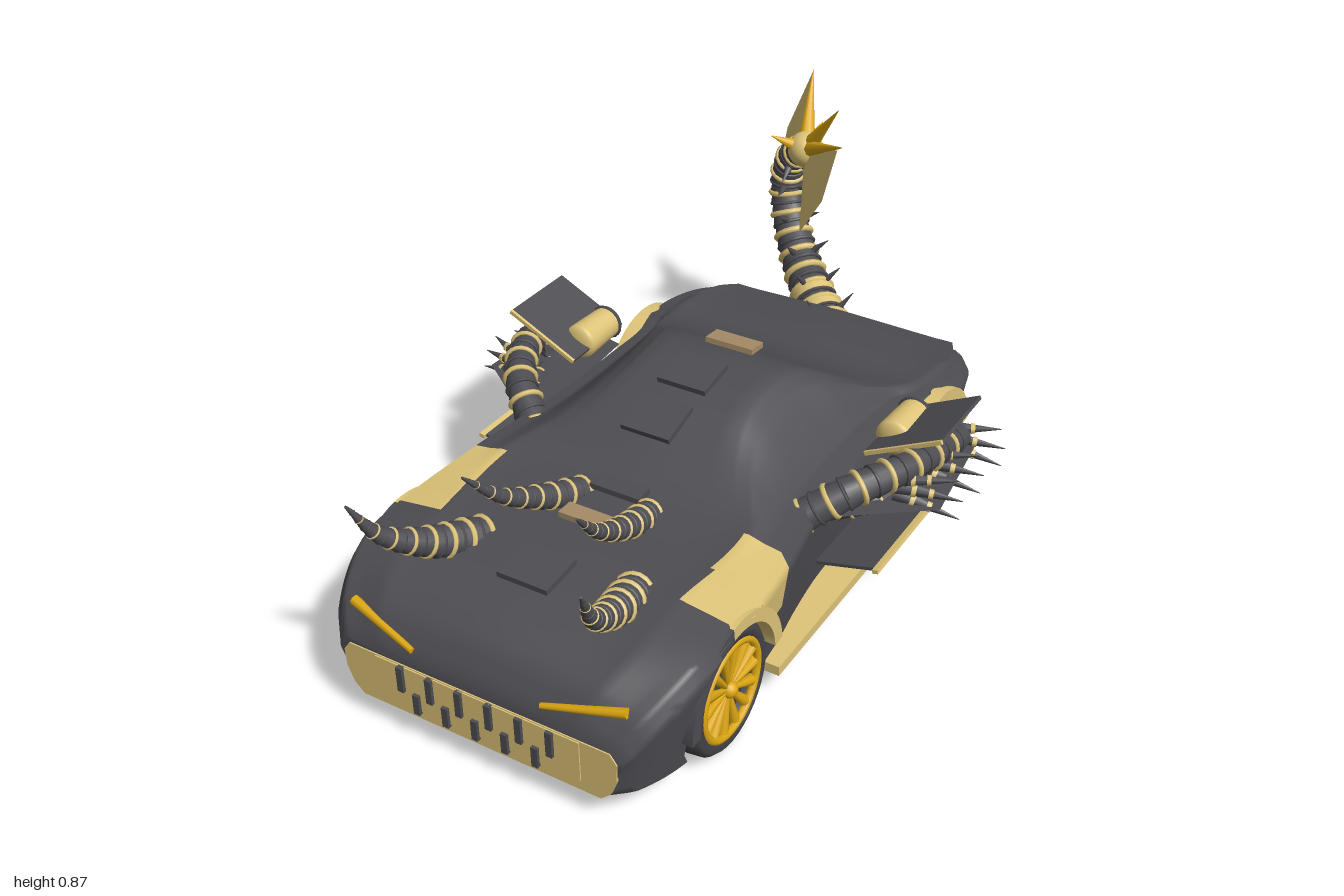
import * as THREE from 'three';
import { toCreasedNormals } from 'three/addons/utils/BufferGeometryUtils.js';

const V = (x, y, z) => new THREE.Vector3(x, y, z);
const UP = V(0, 1, 0);
const mat = (name, color) => {
  const m = new THREE.MeshStandardMaterial({ color, side: THREE.DoubleSide });
  m.name = name;
  return m;
};

export function createModel() {
  const dark = mat('charcoal', 0x4e4d52), tan = mat('bone', 0xdfc579), gold = mat('gold', 0xdea812);
  const tyreMat = mat('rubber', 0x45454a), brown = mat('dull bone', 0xa68c68);
  const root = new THREE.Group();
  root.name = 'beastCar';

  const add = (name, geo, material, parent = root) => {
    const m = new THREE.Mesh(geo, material);
    m.name = name;
    parent.add(m);
    return m;
  };
  const group = (name, parent = root) => {
    const g = new THREE.Group();
    g.name = name;
    parent.add(g);
    return g;
  };
  const box = (name, size, pos, material, parent) => {
    const m = add(name, new THREE.BoxGeometry(...size), material, parent);
    m.position.set(...pos);
    return m;
  };
  // Cylinder or cone between two points
  const rod = (name, a, b, r0, r1, material, parent, sides = 14) => {
    const d = b.clone().sub(a);
    const m = add(name, new THREE.CylinderGeometry(r1, r0, d.length(), sides), material, parent);
    m.position.copy(a).addScaledVector(d, 0.5);
    m.quaternion.setFromUnitVectors(UP, d.normalize());
    return m;
  };
  // Flat triangles from a list of corners
  const facets = (name, corners, material, parent) => {
    const g = new THREE.BufferGeometry().setFromPoints(corners);
    g.computeVertexNormals();
    return add(name, g, material, parent);
  };
  // Chain of flared segments with a bone ring on every other one
  const segmented = (name, pts, r0, r1, n, bulge = 1, parent = root) => {
    const g = group(name, parent), curve = new THREE.CatmullRomCurve3(pts);
    const radius = t => r0 + (r1 - r0) * t ** bulge;
    for (let i = 0; i < n; i++) {
      const a = curve.getPointAt(i / n), b = curve.getPointAt((i + 1) / n);
      const r = radius(i / n), bone = i % 2 === 0;
      rod('segment', a, b, r, radius((i + 1) / n) * 0.9, dark, g);
      const ring = add('ring', new THREE.TorusGeometry(r * 0.95, r * (bone ? 0.17 : 0.1), 6, 18), bone ? tan : dark, g);
      ring.position.copy(a);
      ring.quaternion.setFromUnitVectors(V(0, 0, 1), curve.getTangentAt(i / n));
    }
    return { g, curve };
  };

  // Body stations: z, half width, bottom, shoulder, top, top half width
  const stations = [
    [-0.69, 0.36, 0.12, 0.29, 0.31, 0.30], [-0.62, 0.41, 0.09, 0.315, 0.325, 0.33],
    [-0.5, 0.44, 0.07, 0.335, 0.345, 0.34], [-0.37, 0.435, 0.06, 0.35, 0.36, 0.33],
    [-0.25, 0.40, 0.06, 0.36, 0.405, 0.29], [-0.1, 0.39, 0.06, 0.37, 0.49, 0.22],
    [0, 0.39, 0.06, 0.37, 0.513, 0.19], [0.15, 0.395, 0.06, 0.37, 0.495, 0.19],
    [0.28, 0.41, 0.06, 0.37, 0.435, 0.23], [0.41, 0.43, 0.06, 0.365, 0.38, 0.30],
    [0.7, 0.45, 0.06, 0.355, 0.37, 0.28], [0.82, 0.445, 0.06, 0.335, 0.35, 0.28],
    [0.93, 0.405, 0.06, 0.275, 0.30, 0.25], [0.98, 0.365, 0.068, 0.215, 0.23, 0.22]];
  // Smooth blend of the stations at a given z
  const last = stations.length - 1;
  const slope = (k, j) => {
    const a = stations[Math.max(k - 1, 0)], b = stations[Math.min(k + 1, last)];
    return (b[j] - a[j]) / (b[0] - a[0]);
  };
  const section = z => {
    let k = 0;
    while (k < last - 1 && stations[k + 1][0] < z) k++;
    const A = stations[k], B = stations[k + 1], h = B[0] - A[0], t = (z - A[0]) / h, u = 1 - t;
    return A.map((v, j) => u * u * (1 + 2 * t) * v + t * t * (3 - 2 * t) * B[j]
      + h * t * u * (u * slope(k, j) - t * slope(k + 1, j)));
  };
  const wheelZ = [0.655, -0.366], wheelY = 0.155;
  const pos = [], NZ = 110, SUB = 4;
  let ringN = 0;
  for (let i = 0; i <= NZ; i++) {
    const z = -0.69 + 1.67 * i / NZ;
    const [, w, yb, ys, yt, wt] = section(z);
    const prof = [[0, yb], [w - 0.07, yb], [w - 0.035, yb + 0.015], [w - 0.015, (yb + ys) / 2], [w, ys - 0.04],
      [w - 0.02, ys - 0.006], [w - 0.06, ys], [wt + 0.03, ys + (yt - ys) * 0.75], [wt - 0.02, yt - 0.006], [0, yt]];
    const half = [];
    for (let j = 0; j < prof.length - 1; j++) for (let s = 0; s < SUB; s++) {
      const [x0, y0] = prof[j], [x1, y1] = prof[j + 1], u = s / SUB;
      half.push([x0 + (x1 - x0) * u, y0 + (y1 - y0) * u]);
    }
    half.push(prof[prof.length - 1]);
    // Push the skin inward inside the wheel wells
    const skin = half.map(([x, y]) =>
      [wheelZ.some(c => Math.hypot(z - c, y - wheelY) < 0.172) ? Math.min(x, 0.27) : x, y]);
    const ring = skin.concat(skin.slice(1, -1).reverse().map(([x, y]) => [-x, y]));
    ringN = ring.length;
    ring.forEach(([x, y]) => pos.push(x, y, z));
  }
  // Fan of triangles, coloured as one patch
  const faces = [[], []];
  const face = (...c) => {
    const [x, y, z] = [0, 1, 2].map(k => c.reduce((sum, i) => sum + pos[i * 3 + k], 0) / c.length);
    const fender = z > 0.42 && z < 0.67 && Math.abs(x) > 0.32 && y > 0.2;
    const tailEnd = z < -0.685 && y < 0.3;
    const set = faces[fender || tailEnd || y < 0.075 || (z < -0.5 && y < 0.12) ? 1 : 0];
    for (let i = 2; i < c.length; i++) set.push(c[0], c[i - 1], c[i]);
  };
  for (let i = 0; i < NZ; i++) for (let j = 0; j < ringN; j++) {
    const a = i * ringN + j, b = i * ringN + (j + 1) % ringN;
    face(a, b, b + ringN, a + ringN);
  }
  // End caps
  [0, NZ].forEach(i => {
    const c = pos.length / 3;
    pos.push(0, 0.18, i ? 0.98 : -0.69);
    for (let j = 0; j < ringN; j++) {
      const a = i * ringN + j, b = i * ringN + (j + 1) % ringN;
      i ? face(c, a, b) : face(c, b, a);
    }
  });
  const bodyGeo = new THREE.BufferGeometry();
  bodyGeo.setAttribute('position', new THREE.Float32BufferAttribute(pos, 3));
  bodyGeo.setIndex(faces.flat());
  bodyGeo.addGroup(0, faces[0].length, 0);
  bodyGeo.addGroup(faces[0].length, faces[1].length, 1);
  add('body', toCreasedNormals(bodyGeo, 0.85), [dark, tan]);

  // Wheels and arches
  const tyreProfile = [[0.112, -0.07], [0.14, -0.073], [0.152, -0.06], [0.155, -0.03], [0.155, 0.03],
    [0.152, 0.06], [0.14, 0.073], [0.112, 0.07], [0.11, 0.04]].map(p => new THREE.Vector2(...p));
  const archGeo = (from, to) => {
    const shape = new THREE.Shape();
    shape.absarc(0, 0, 0.19, from, to, false);
    shape.absarc(0, 0, 0.158, to, from, true);
    return new THREE.ExtrudeGeometry(shape, { depth: 0.08, bevelEnabled: false, curveSegments: 24 }).rotateY(Math.PI / 2);
  };
  for (const s of [1, -1]) {
    for (const z of wheelZ) {
      const w = group('wheel');
      w.position.set(s * 0.357, wheelY, z);
      w.rotation.y = s * Math.PI / 2;
      add('tyre', new THREE.LatheGeometry(tyreProfile, 36).rotateX(Math.PI / 2), tyreMat, w);
      add('wheelBack', new THREE.CylinderGeometry(0.113, 0.113, 0.09, 28).rotateX(Math.PI / 2), tyreMat, w);
      add('rim', new THREE.TorusGeometry(0.114, 0.01, 8, 32), gold, w).position.z = 0.066;
      add('hub', new THREE.SphereGeometry(0.02, 14, 10), gold, w).position.z = 0.062;
      // Spokes widen toward the rim
      for (let i = 0; i < 14; i++) {
        const a = i / 14 * Math.PI * 2, dir = V(Math.cos(a), Math.sin(a), 0);
        const at = r => dir.clone().multiplyScalar(r).setZ(0.06);
        rod('spoke', at(0.012), at(0.11), 0.005, 0.014, gold, w, 8);
      }
    }
    // Angles run from the rear of the wheel over the top to its front
    const archX = s > 0 ? 0.364 : -0.444;
    add('rearWheelArch', archGeo(0.15, Math.PI + 0.05), tan).position.set(archX, wheelY, wheelZ[1]);
    add('frontWheelArch', archGeo(0.1, 1.7), tan).position.set(archX, wheelY, wheelZ[0]);
    add('frontWheelArchNose', archGeo(1.7, Math.PI), dark).position.set(archX, wheelY, wheelZ[0]);
  }

  // Hood and roof scoops: z, y, length, tilt, material
  [[0.745, 0.373, 0.11, 0.1, dark], [0.55, 0.381, 0.045, 0, brown], [0.425, 0.385, 0.05, 0, dark],
    [0.265, 0.485, 0.11, 0.3, dark], [0.105, 0.522, 0.11, 0.18, dark], [-0.09, 0.508, 0.055, -0.1, brown]]
    .forEach(([z, y, len, tilt, m]) => { box('scoop', [0.13, 0.014, len], [0, y, z], m).rotation.x = tilt; });

  // Mouth plate, panel and teeth
  const mouth = new THREE.Shape([[-0.31, 0.066], [0.31, 0.066], [0.335, 0.09], [0.35, 0.13], [0.352, 0.175],
    [0.335, 0.198], [-0.335, 0.198], [-0.352, 0.175], [-0.35, 0.13], [-0.335, 0.09]].map(p => new THREE.Vector2(...p)));
  add('mouth', new THREE.ExtrudeGeometry(mouth, { depth: 0.007, bevelEnabled: false }), tan).position.z = 0.976;
  box('mouthPanel', [0.525, 0.105, 0.006], [0, 0.143, 0.983], tan);
  for (let i = 0; i < 6; i++) box('upperTooth', [0.016, 0.065, 0.014], [(i - 2.5) * 0.077, 0.163, 0.987], dark);
  for (let i = 0; i < 5; i++) box('lowerTooth', [0.016, 0.052, 0.014], [(i - 2) * 0.077, 0.11, 0.987], dark);

  for (const s of [1, -1]) {
    const P = (x, y, z) => V(s * x, y, z);
    rod('eye', P(0.165, 0.242, 0.974), P(0.35, 0.277, 0.936), 0.007, 0.012, gold, root, 8);
    // Hood horns
    segmented('outerHorn', [P(0.20, 0.34, 0.68), P(0.235, 0.4, 0.82), P(0.265, 0.47, 0.92), P(0.288, 0.575, 0.985)], 0.044, 0.003, 16, 1.4);
    segmented('innerHorn', [P(0.09, 0.36, 0.45), P(0.11, 0.41, 0.57), P(0.125, 0.48, 0.69), P(0.143, 0.58, 0.79)], 0.034, 0.003, 16, 1.4);
    // Sill and rear bar
    box('sideSkirt', [0.1, 0.025, 0.62], [s * 0.39, 0.073, 0.16], tan);
    box('rearBar', [0.12, 0.025, 0.02], [s * 0.19, 0.13, -0.692], tan);

    // Side weapon pod
    const pod = group('sidePod');
    segmented('arm', [P(0.37, 0.33, 0.24), P(0.46, 0.39, 0.17), P(0.54, 0.405, 0.03), P(0.57, 0.38, -0.17)], 0.042, 0.034, 14, 1, pod);
    segmented('lowerArm', [P(0.38, 0.29, 0.15), P(0.48, 0.32, 0.1), P(0.53, 0.32, -0.06)], 0.026, 0.02, 9, 1, pod);
    [[0.445, 0.39, 0.046, tan], [0.52, 0.295, 0.042, dark]].forEach(([x, y, r, m]) => {
      rod('thruster', P(x, y, -0.07), P(x, y, -0.19), r, r * 0.9, m, pod, 20);
      rod('thrusterNozzle', P(x, y, -0.185), P(x, y, -0.198), r * 0.85, r * 0.85, gold, pod, 20);
      const rim = add('thrusterRim', new THREE.TorusGeometry(r * 0.9, r * 0.12, 6, 20), dark, pod);
      rim.position.set(s * x, y, -0.19);
      const nose = add('thrusterNose', new THREE.SphereGeometry(r, 16, 10), tan, pod);
      nose.position.set(s * x, y, -0.07);
      nose.scale.z = 0.4;
    });
    // Blades: the upper one slopes up and outward with a thin bone front edge
    box('topBlade', [0.21, 0.009, 0.22], [s * 0.505, 0.428, -0.1], dark, pod).rotation.z = s * 0.46;
    box('bladeEdge', [0.21, 0.01, 0.008], [s * 0.505, 0.428, 0.013], tan, pod).rotation.z = s * 0.46;
    box('bladeLining', [0.14, 0.004, 0.12], [s * 0.508, 0.422, -0.1], brown, pod).rotation.z = s * 0.46;
    const [m0, m1, m2, m3] = [P(0.38, 0.33, 0.25), P(0.63, 0.335, 0.07), P(0.6, 0.35, -0.22), P(0.4, 0.34, -0.18)];
    facets('middleBlade', [m0, m1, m2, m0, m2, m3], dark, pod);
    const lowerTilt = s * 0.25;
    box('lowerBlade', [0.16, 0.008, 0.34], [s * 0.475, 0.214, 0.05], dark, pod).rotation.z = lowerTilt;
    box('lowerBladeEdge', [0.014, 0.01, 0.36], [s * 0.55, 0.233, 0.05], tan, pod).rotation.z = lowerTilt;
    box('lowerBladeLining', [0.1, 0.004, 0.14], [s * 0.47, 0.208, 0.05], brown, pod).rotation.z = lowerTilt;
    for (const z of [0.05, -0.07, -0.2]) for (let i = 0; i < 3; i++) {
      const a = P(0.52, 0.35 + i * 0.018, z + 0.03), b = P(i === 2 ? 0.65 : 0.67, 0.31 + i * 0.04, z - 0.015 * i);
      rod('claw', a, b, 0.02, 0.001, dark, pod, 8);
      for (const t of [0.25, 0.5]) {
        rod('clawBand', a.clone().lerp(b, t), a.clone().lerp(b, t + 0.07), 0.023 - 0.02 * t, 0.022 - 0.02 * t, tan, pod, 8);
      }
    }
  }

  // Tail, arching in a diagonal vertical plane behind the car
  const T = (z, y) => V((z + 0.66) * 1.13, y, z);
  const tail = segmented('tail', [T(-0.67, 0.22), T(-0.76, 0.265), T(-0.86, 0.35), T(-0.92, 0.45),
    T(-0.935, 0.54), T(-0.905, 0.63), T(-0.84, 0.69)], 0.066, 0.04, 24);
  const side = V(0.66, 0, -0.75);
  // Bone cuffs around the tail root
  for (const t of [0.04, 0.125, 0.21]) {
    rod('tailCuff', tail.curve.getPointAt(t), tail.curve.getPointAt(t + 0.035), 0.07 - t * 0.03, 0.068 - t * 0.03, tan, tail.g, 18);
  }
  for (let i = 2; i < 19; i += 3) {
    const p = tail.curve.getPointAt(i / 20), inward = side.clone().cross(tail.curve.getTangentAt(i / 20)).normalize();
    for (const k of [-1, 1]) {
      const d = inward.clone().addScaledVector(side, k * 0.7).normalize();
      rod('tailSpike', p.clone().addScaledVector(d, 0.035), p.clone().addScaledVector(d, 0.125 - i * 0.002), 0.013, 0.001, dark, tail.g, 7);
    }
  }

  // Tail tip with ridged fans and spikes
  const tip = group('tailTip'), c = V(-0.2, 0.695, -0.83);
  add('tipBall', new THREE.SphereGeometry(0.05, 20, 14), tan, tip).position.copy(c);
  const fan = (name, pts) => {
    const mid = pts.reduce((sum, p) => sum.add(p), V(0, 0, 0)).divideScalar(pts.length);
    const corners = [];
    for (const k of [-1, 1]) {
      const ridge = mid.clone().addScaledVector(side, k * 0.025).setY(mid.y - 0.05);
      pts.forEach((p, i) => {
        const q = pts[(i + 1) % pts.length];
        corners.push(ridge, ...(k > 0 ? [p, q] : [q, p]));
      });
    }
    // Make every triangle face away from the fan's middle
    for (let i = 0; i < corners.length; i += 3) {
      const n = new THREE.Triangle(corners[i], corners[i + 1], corners[i + 2]).getNormal(V(0, 0, 0));
      if (n.dot(corners[i].clone().sub(mid).projectOnVector(side)) < 0) {
        [corners[i + 1], corners[i + 2]] = [corners[i + 2], corners[i + 1]];
      }
    }
    facets(name, corners, tan, tip);
  };
  fan('frontFan', [c, V(-0.03, 0.785, -0.68), V(-0.05, 0.65, -0.64), V(-0.13, 0.525, -0.67), V(-0.2, 0.655, -0.82)]);
  fan('rearFan', [c, V(-0.265, 0.855, -0.985), V(-0.345, 0.67, -0.995), V(-0.35, 0.585, -0.97), V(-0.21, 0.655, -0.84)]);
  [[-0.075, 0.855, -0.77], [-0.26, 0.865, -0.98], [-0.012, 0.8, -0.67], [-0.27, 0.745, -0.76], [-0.2, 0.74, -0.93]]
    .forEach(p => rod('tipSpike', c, V(...p), 0.026, 0.001, gold, tip, 8));

  return root;
}
